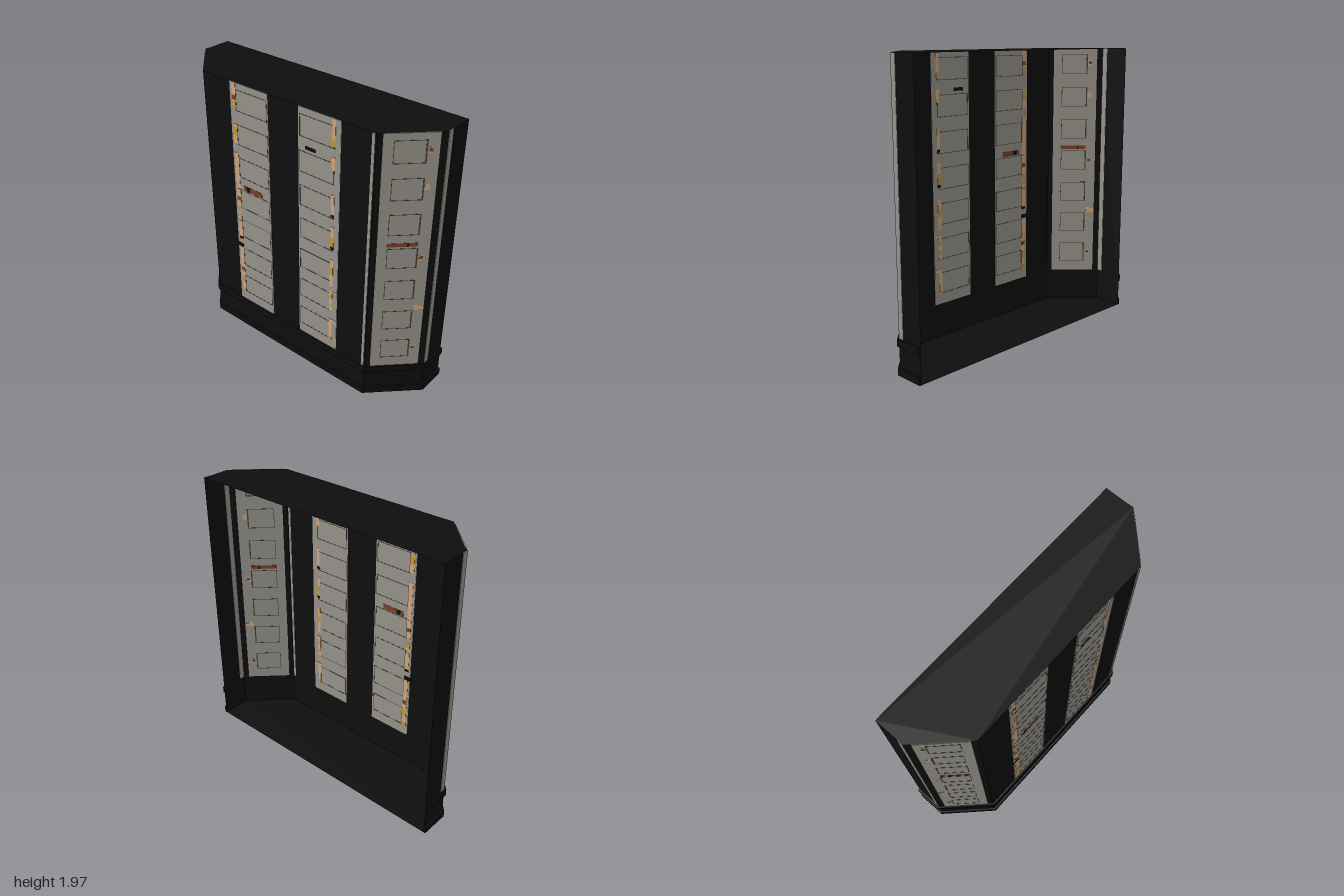
import * as THREE from 'three';

const H = 1.97, SILL = 0.24;

function mat(name, color, double) {
  const m = new THREE.MeshStandardMaterial({ color });
  m.name = name;
  if (double) m.side = THREE.DoubleSide;
  return m;
}

export function createModel() {
  const root = new THREE.Group();
  root.name = 'facadeSection';
  const black = mat('black', 0x0e0e0e, true);
  const grey = mat('panelGrey', 0x96938a);
  const line = mat('windowLine', 0x45433e);
  const tan = mat('tan', 0xd2a57a);
  const gold = mat('gold', 0xc8962e);
  const rust = mat('rust', 0x7a4022);

  // Footprint, open along the back; o is the outward offset of the ledges
  const outline = (o) => [
    [-0.985 - o, -0.255], [-0.985 - o, -0.045 + o * 0.1], [-0.7 - o * 0.1, 0.24 + o],
    [0.7 + o * 0.1, 0.24 + o], [0.985 + o, -0.045 + o * 0.1], [0.985 + o, -0.255]
  ].map(([x, z]) => new THREE.Vector2(x, -z));

  function add(parent, name, geometry, material) {
    const mesh = new THREE.Mesh(geometry, material);
    mesh.name = name;
    parent.add(mesh);
    return mesh;
  }

  // Roof and floor sheets
  for (const [name, y, o] of [['roof', H, 0], ['floor', 0, 0.015]]) {
    const g = new THREE.ShapeGeometry(new THREE.Shape(outline(o)));
    g.rotateX(-Math.PI / 2).translate(0, y, 0);
    add(root, name, g, black);
  }

  // Thin walls, one per side of the footprint
  const pts = outline(0);
  for (let i = 0; i < pts.length - 1; i++) {
    const a = pts[i], b = pts[i + 1];
    const wall = add(root, 'wall', new THREE.PlaneGeometry(a.distanceTo(b), H), black);
    wall.position.set((a.x + b.x) / 2, H / 2, -(a.y + b.y) / 2);
    wall.rotation.y = Math.atan2(b.y - a.y, b.x - a.x);
  }

  // Ledges at the foot and at the sill
  for (const [y, h] of [[0, 0.05], [0.19, 0.05]]) {
    const shape = new THREE.Shape([...outline(0.015), ...outline(0).reverse()]);
    const g = new THREE.ExtrudeGeometry(shape, { depth: h, bevelEnabled: false });
    g.rotateX(-Math.PI / 2).translate(0, y, 0);
    add(root, 'ledge', g, black);
  }

  // A plate centred on the wall plane, so it shows inside and outside
  function plate(parent, name, material, u0, u1, y0, y1, depth) {
    const g = new THREE.BoxGeometry(Math.abs(u1 - u0), y1 - y0, depth);
    add(parent, name, g, material).position.set((u0 + u1) / 2, (y0 + y1) / 2, 0);
  }

  function facet(name, x, z, turn) {
    const f = new THREE.Group();
    f.name = name;
    f.position.set(x, 0, z);
    f.rotation.y = turn;
    root.add(f);
    return f;
  }

  // Seven windows, drawn by thin frames with a wider outer jamb
  function windows(parent, inner, outer, s) {
    const t = 0.004;
    for (let i = 0; i < 7; i++) {
      const y0 = 0.315 + i * 0.2435, y1 = y0 + 0.148;
      plate(parent, 'windowFoot', line, s * inner, s * outer, y0, y0 + t, 0.0085);
      plate(parent, 'windowHead', line, s * inner, s * outer, y1 - t, y1, 0.0085);
      plate(parent, 'windowJamb', line, s * inner, s * (inner + t), y0, y1, 0.0085);
      plate(parent, 'windowOuterJamb', line, s * (outer - 0.009), s * outer, y0, y1, 0.0085);
    }
  }

  // Front panels
  const front = facet('front', 0, 0.24, 0);
  for (const s of [-1, 1]) {
    plate(front, 'frontPanel', grey, s * 0.125, s * 0.455, SILL, H, 0.006);
    windows(front, 0.135, 0.41, s);
  }

  // Worn strips beside the front windows: [y0, y1, material]
  const worn = {
    left: [[1.8, H, tan], [1.54, 1.68, tan], [1.2, 1.47, tan], [1.05, 1.19, tan], [0.95, 1.01, tan],
      [0.8, 0.93, tan], [0.53, 0.71, tan], [0.31, 0.5, tan]],
    right: [[1.79, H, tan], [1.63, 1.72, tan], [1.31, 1.46, tan], [1.08, 1.23, tan], [0.77, 0.98, tan],
      [0.56, 0.73, tan], [0.31, 0.49, tan]],
    leftSpots: [[1.8, 1.84, gold], [1.85, 1.88, rust], [1.6, 1.66, gold], [1.1, 1.13, rust],
      [0.97, 1.0, gold], [0.78, 0.8, black], [0.5, 0.53, rust], [0.4, 0.45, gold], [0.31, 0.34, gold]],
    rightSpots: [[1.79, 1.83, gold], [1.3, 1.32, black], [1.08, 1.15, gold], [1.06, 1.08, black],
      [0.86, 0.91, gold], [0.66, 0.69, gold], [0.59, 0.62, gold], [0.31, 0.34, gold]]
  };
  for (const [key, list] of Object.entries(worn)) {
    const [u0, u1] = key.startsWith('left') ? [-0.438, -0.405] : [0.39, 0.415];
    const depth = key.endsWith('Spots') ? 0.0098 : 0.0092;
    for (const [y0, y1, m] of list) plate(front, 'wornStrip', m, u0, u1, y0, y1, depth);
  }
  plate(front, 'rustBar', rust, -0.37, -0.2, 1.2, 1.235, 0.0092);
  plate(front, 'rustBarGap', black, -0.345, -0.312, 1.2, 1.235, 0.0098);
  plate(front, 'darkBar', black, 0.18, 0.262, 1.7, 1.722, 0.0092);
  plate(front, 'panelNotch', black, -0.462, -0.405, 0.71, 0.74, 0.0098);
  plate(front, 'tanTab', tan, 0.41, 0.452, 0.47, 0.49, 0.0092);
  plate(front, 'tanTab', tan, 0.41, 0.445, 0.715, 0.73, 0.0092);
  plate(front, 'cornerStrip', grey, 0.672, 0.692, SILL, H, 0.006);

  // Slanted corners and the strips on the sides, mirrored
  for (const s of [-1, 1]) {
    const corner = facet('corner', s * 0.8425, 0.0975, s * Math.PI / 4);
    plate(corner, 'cornerPanel', grey, s * -0.165, s * 0.16, SILL, H, 0.006);
    windows(corner, -0.103, 0.09, s);
    plate(corner, 'rustBar', rust, s * -0.105, s * 0.085, 1.207, 1.233, 0.0092);
    plate(corner, 'rustBarGap', black, s * 0.02, s * 0.03, 1.207, 1.233, 0.0098);
    for (const [y, m] of [[1.86, rust], [1.62, tan], [1.12, rust], [0.73, tan], [0.39, rust]]) {
      plate(corner, 'wornSpot', tan, s * 0.095, s * 0.122, y - 0.02, y + 0.02, 0.0092);
      if (m === rust) plate(corner, 'rustSpot', rust, s * 0.1, s * 0.122, y - 0.01, y + 0.012, 0.0098);
    }
    plate(corner, 'tanTab', tan, s * 0.12, s * 0.159, 0.715, 0.74, 0.0092);
    const side = facet('side', s * 0.985, 0, s * Math.PI / 2);
    plate(side, 'sideStrip', grey, s * 0.047, s * 0.088, SILL, H, 0.006);
  }

  return root;
}
